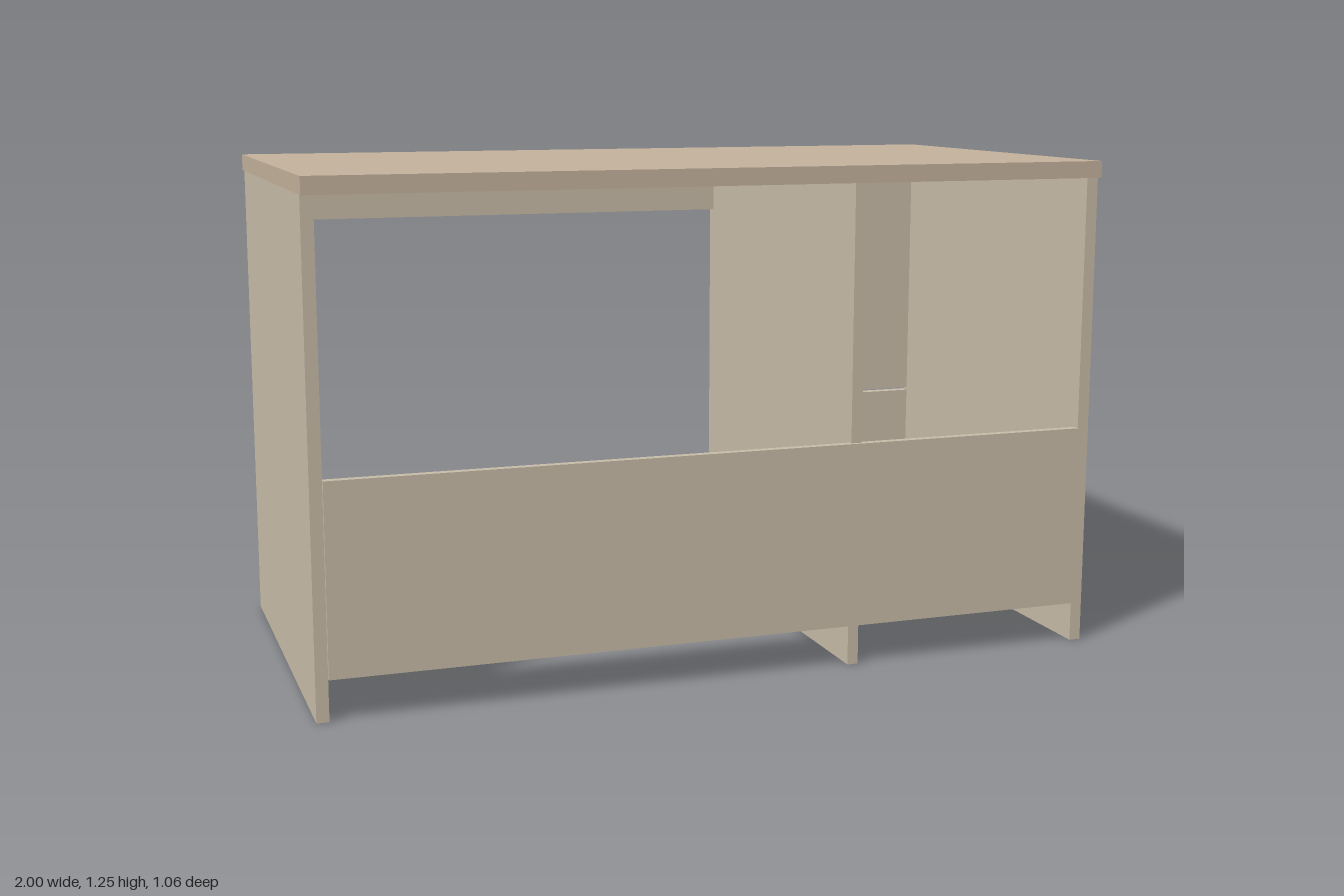
import * as THREE from 'three';

export function createModel() {
  const desk = new THREE.Group();
  desk.name = 'desk';

  const topMat = new THREE.MeshStandardMaterial({ color: 0xc4b29c });
  const panelMat = new THREE.MeshStandardMaterial({ color: 0xc8bca8 });
  const knobMat = new THREE.MeshStandardMaterial({ color: 0xb4b6c0 });

  // Board given by its lower and upper limits on each axis
  function board(name, [x0, x1], [y0, y1], [z0, z1], mat = panelMat) {
    const mesh = new THREE.Mesh(new THREE.BoxGeometry(x1 - x0, y1 - y0, z1 - z0), mat);
    mesh.position.set((x0 + x1) / 2, (y0 + y1) / 2, (z0 + z1) / 2);
    mesh.name = name;
    desk.add(mesh);
  }

  const underTop = 1.208;
  const back = -0.488;
  const depth = [back, 0.514];
  const frontDepth = [back, back + 0.028];

  // Worktop and uprights
  board('worktop', [-1, 1], [underTop, 1.25], [-0.53, 0.53], topMat);
  board('rightSidePanel', [-1, -0.97], [0, underTop], depth);
  board('leftSidePanel', [0.97, 1], [0, underTop], depth);
  board('cabinetDivider', [0.332, 0.36], [0, underTop], depth);

  // Cross panels
  board('modestyPanel', [-0.97, 0.966], [0.103, 0.568], [0.503, 0.524]);
  board('kneeholeApron', [-0.97, 0.332], [1.075, underTop], frontDepth);
  board('cabinetFloor', [0.36, 0.97], [0.105, 0.132], [back + 0.028, 0.503]);

  // Cabinet fronts, separated by narrow gaps
  const frontX = [0.364, 0.966];
  board('plinth', frontX, [0.01, 0.096], frontDepth);
  const fronts = [
    ['lowerDrawer', 0.106, 0.304, 0.203],
    ['upperDrawer', 0.312, 0.508, 0.41],
    ['cabinetDoor', 0.516, 1.202, 0.844],
  ];
  for (const [name, y0, y1, knobY] of fronts) {
    board(name + 'Front', frontX, [y0, y1], frontDepth);
    const knob = new THREE.Mesh(new THREE.CylinderGeometry(0.01, 0.01, 0.022, 24), knobMat);
    knob.rotation.x = Math.PI / 2;
    knob.position.set(0.665, knobY, back - 0.01);
    knob.name = name + 'Knob';
    desk.add(knob);
  }

  return desk;
}
